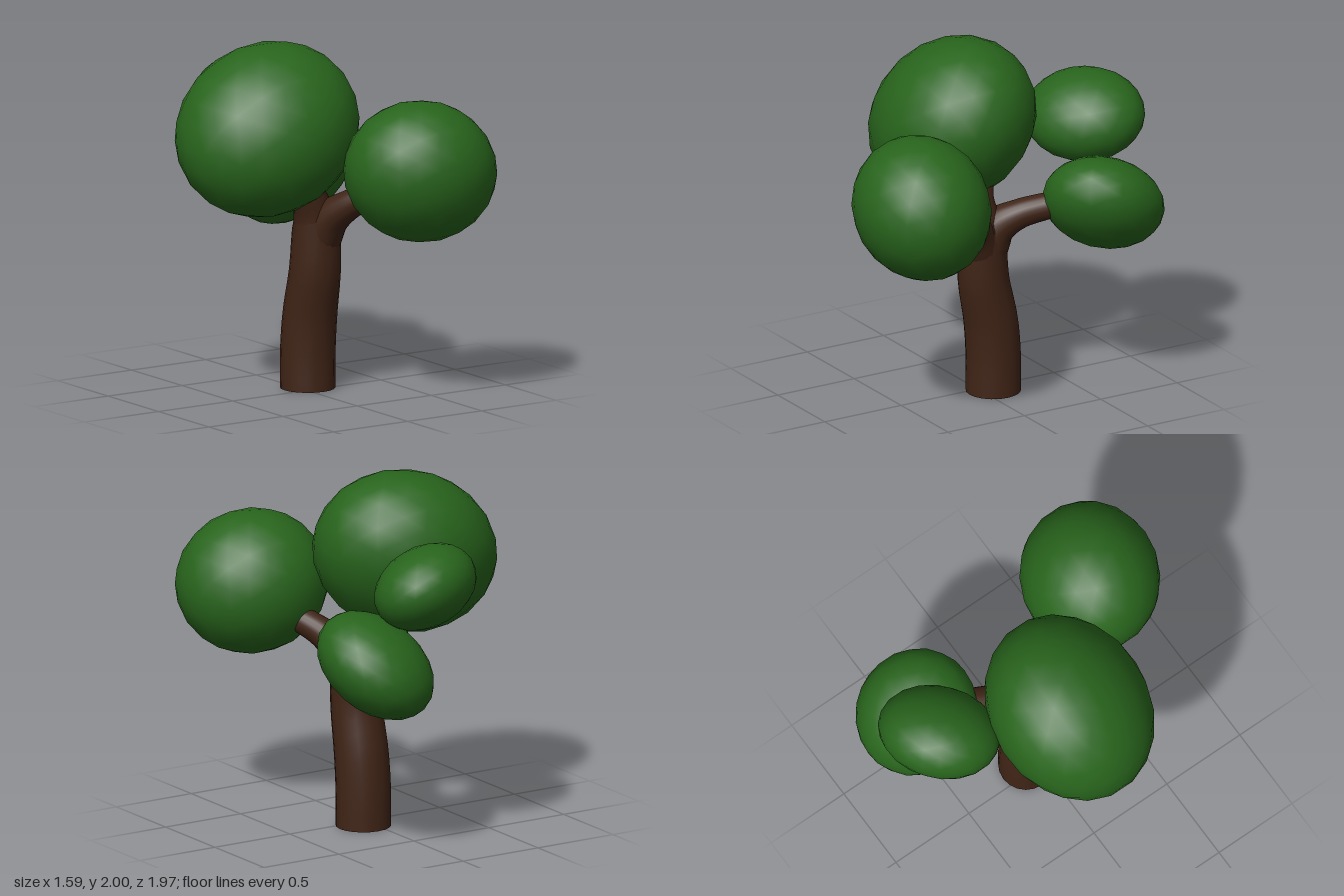
import * as THREE from 'three';

const bark = new THREE.MeshStandardMaterial({ color: 0x402416 });
const leaf = new THREE.MeshStandardMaterial({ color: 0x28641c });

// Leaf clump: a sphere stretched to half-extents e, leaning by the products xy, xz, yz
function clump(name, c, e, xy, xz, yz) {
  const a = e[0], b = xy / a, d = xz / a;
  const f = Math.sqrt(e[1] ** 2 - b * b), g = (yz - b * d) / f;
  const h = Math.sqrt(e[2] ** 2 - d * d - g * g);
  const geo = new THREE.IcosahedronGeometry(1.01, 3);
  geo.applyMatrix4(new THREE.Matrix4().set(
    a, 0, 0, c[0],
    b, f, 0, c[1],
    d, g, h, c[2],
    0, 0, 0, 1));
  const mesh = new THREE.Mesh(geo, leaf);
  mesh.name = name;
  return mesh;
}

// Tapering limb through rows of [x, y, z, radius], closed with flat caps
function limb(name, rows, steps = 14, sides = 20) {
  const group = new THREE.Group();
  group.name = name;
  const curve = new THREE.CatmullRomCurve3(rows.map(r => new THREE.Vector3(r[0], r[1], r[2])));
  const radii = new THREE.CatmullRomCurve3(rows.map((r, i) => new THREE.Vector3(i, r[3], 0)));
  const geo = new THREE.TubeGeometry(curve, steps, 1, sides);
  const pos = geo.attributes.position, v = new THREE.Vector3();
  const radiusAt = u => radii.getPoint(curve.getUtoTmapping(u)).y;
  for (let i = 0; i <= steps; i++) {
    const centre = curve.getPointAt(i / steps), r = radiusAt(i / steps);
    for (let j = 0; j <= sides; j++) {
      const k = i * (sides + 1) + j;
      v.fromBufferAttribute(pos, k).sub(centre).multiplyScalar(r).add(centre);
      pos.setXYZ(k, v.x, v.y, v.z);
    }
  }
  const wall = new THREE.Mesh(geo, bark);
  wall.name = name + 'Wall';
  group.add(wall);
  for (const u of [0, 1]) {
    const cap = new THREE.Mesh(new THREE.CircleGeometry(radiusAt(u), sides), bark);
    cap.name = name + 'Cap';
    const p = curve.getPointAt(u), t = curve.getTangentAt(u);
    cap.position.copy(p);
    cap.quaternion.setFromUnitVectors(new THREE.Vector3(0, 0, 1), u ? t : t.negate());
    group.add(cap);
  }
  return group;
}

export function createModel() {
  const tree = new THREE.Group();
  tree.name = 'tree';

  // Bent trunk and its three branches
  tree.add(
    limb('trunk', [
      [0.055, 0, -0.07, 0.155], [0.055, 0.2, -0.07, 0.155], [0.057, 0.42, -0.052, 0.153],
      [0.058, 0.68, -0.003, 0.145], [0.06, 0.87, 0.005, 0.138], [0.06, 0.98, 0.005, 0.125],
      [0.06, 1.07, 0.005, 0.085]]),
    limb('frontBranch', [
      [0.07, 0.86, 0.02, 0.125], [0.1, 0.98, 0.08, 0.11], [0.16, 1.07, 0.18, 0.085],
      [0.24, 1.14, 0.29, 0.075]]),
    limb('backBranch', [
      [0.07, 0.86, -0.01, 0.125], [0.09, 0.98, -0.07, 0.11], [0.14, 1.05, -0.18, 0.085],
      [0.22, 1.1, -0.36, 0.075]]),
    limb('upperBranch', [
      [0.06, 0.9, 0.005, 0.125], [0.045, 1.02, 0.005, 0.115], [0.015, 1.12, 0.005, 0.092],
      [-0.01, 1.2, 0.005, 0.1]])
  );

  // Leaf clumps
  tree.add(
    clump('mainCrown', [-0.267, 1.523, 0], [0.525, 0.475, 0.455], 0.035, 0.008, -0.022),
    clump('frontCrown', [0.365, 1.31, 0.59], [0.425, 0.4, 0.39], -0.008, 0.01, 0.006),
    clump('upperBackCrown', [0.04, 1.52, -0.677], [0.32, 0.243, 0.303], -0.008, -0.02, -0.012),
    clump('lowerBackCrown', [0.335, 1.097, -0.62], [0.325, 0.293, 0.338], 0.022, -0.003, 0.027)
  );
  return tree;
}
